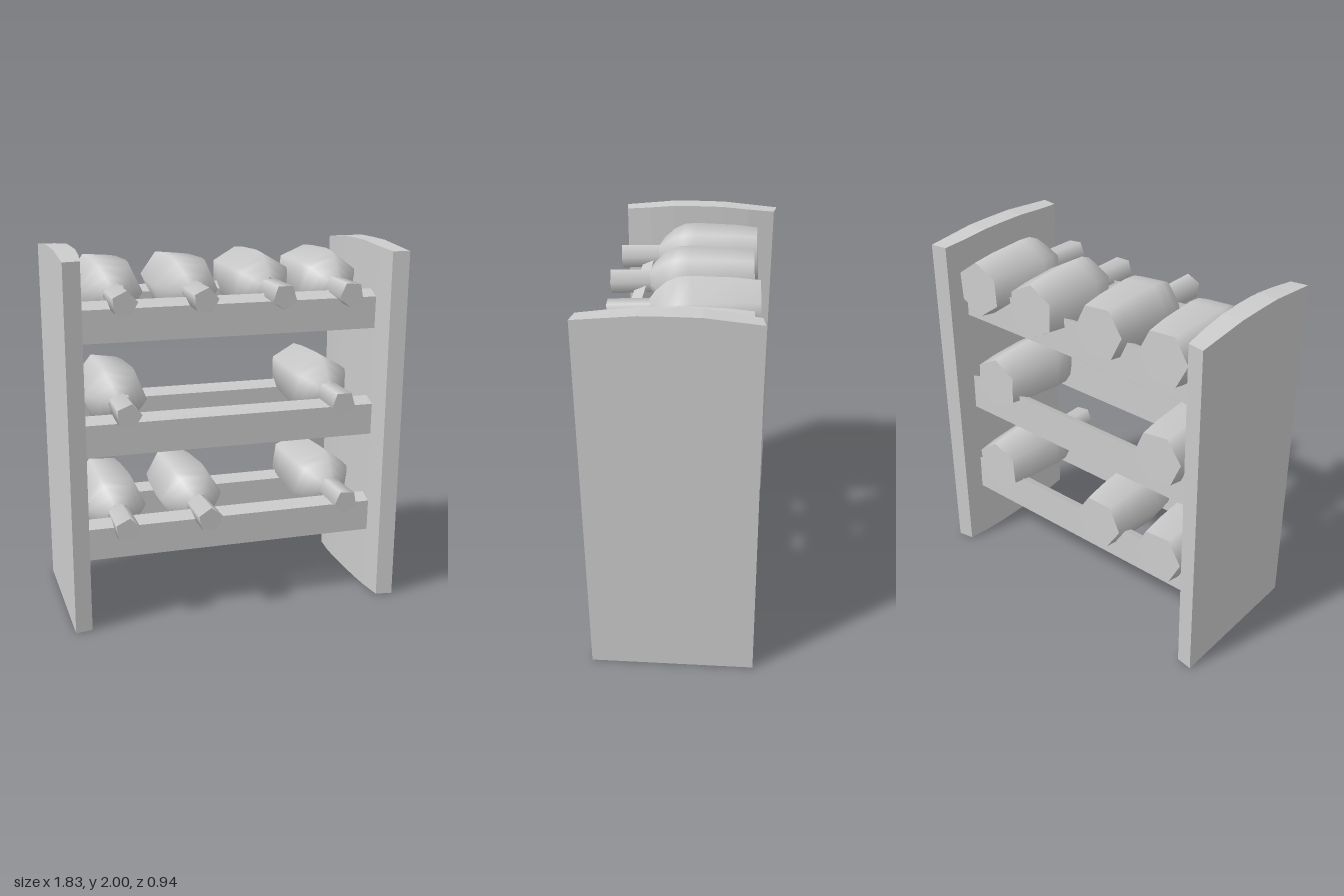
import * as THREE from 'three';

const material = new THREE.MeshStandardMaterial({ color: 0xcccccc });

function addMesh(parent, geometry, name) {
  const mesh = new THREE.Mesh(geometry, material);
  mesh.name = name;
  parent.add(mesh);
  return mesh;
}

// Upright side board: arched top, slight widening upward, inner face bowed inward
function sidePanelGeometry() {
  const box = new THREE.BoxGeometry(1, 2, 2, 1, 1, 6);
  const p = box.attributes.position;
  for (let i = 0; i < p.count; i++) {
    const outer = p.getX(i) > 0;
    const top = p.getY(i) > 0;
    const t = p.getZ(i);
    const front = (top ? 0.47 : 0.44) - (outer ? 0 : 0.015);
    const back = (top ? 0.425 : 0.42) - (outer ? 0 : 0.015);
    const bow = Math.max(0, Math.abs(t) - 0.3) / 0.7;
    p.setXYZ(i,
      outer ? 0.915 : 0.802 + 0.022 * bow * bow,
      top ? 2 - 0.03 * bow : 0,
      t > 0 ? t * front : t * back);
  }
  const flat = box.toNonIndexed();
  flat.computeVertexNormals();
  return flat;
}

// Cross rail: profile in (depth, height) with a sloping top, swept along x
function railGeometry() {
  const shape = new THREE.Shape([
    new THREE.Vector2(-0.035, -0.21),
    new THREE.Vector2(0.03, -0.21),
    new THREE.Vector2(0.035, -0.035),
    new THREE.Vector2(-0.033, 0),
  ]);
  const g = new THREE.ExtrudeGeometry(shape, { depth: 1.62, bevelEnabled: false });
  g.translate(0, 0, -0.81);
  g.rotateY(-Math.PI / 2); // profile depth runs along +z
  return g;
}

const bodyProfile = [
  [0.15, -0.79], [0.168, -0.66], [0.183, -0.44], [0.18, -0.37],
  [0.155, -0.31], [0.105, -0.25], [0.066, -0.22],
].map(([r, y]) => new THREE.Vector2(r, y));

const neckProfile = [[0.066, -0.24], [0.07, 0]].map(([r, y]) => new THREE.Vector2(r, y));

// Bottle lying along z, origin at the mouth, neck towards +z
function makeBottle(spin) {
  const bottle = new THREE.Group();
  bottle.name = 'bottle';
  const body = new THREE.LatheGeometry(bodyProfile, 6).rotateX(Math.PI / 2).rotateZ(spin);
  addMesh(bottle, body, 'bottleBody');
  const base = new THREE.CircleGeometry(0.15, 6, Math.PI / 2);
  base.rotateY(Math.PI).rotateZ(spin).translate(0, 0, -0.79);
  addMesh(bottle, base, 'bottleBase');
  const neck = new THREE.LatheGeometry(neckProfile, 5).rotateX(Math.PI / 2).rotateZ(spin);
  addMesh(bottle, neck, 'bottleNeck');
  const mouth = new THREE.CircleGeometry(0.07, 5, -Math.PI / 2).rotateZ(spin);
  addMesh(bottle, mouth, 'bottleMouth');
  return bottle;
}

export function createModel() {
  const rack = new THREE.Group();
  rack.name = 'bottleRack';

  // Side panels, one turned half a circle
  const panel = sidePanelGeometry();
  addMesh(rack, panel, 'leftPanel');
  addMesh(rack, panel, 'rightPanel').rotation.y = Math.PI;

  // Three levels of front and back rails
  const rail = railGeometry();
  for (const top of [0.565, 1.14, 1.745]) {
    addMesh(rack, rail, 'frontRail').position.set(0, top, 0.267);
    addMesh(rack, rail, 'backRail').position.set(0, top, -0.26);
  }

  // Bottles: mouth x, y, z, then spin about the axis and yaw
  const bottles = [
    [-0.61, 1.75, 0.42, 0.45, 0.01],
    [-0.19, 1.75, 0.43, 0.43, 0.02],
    [0.25, 1.745, 0.39, 0.0, 0.04],
    [0.62, 1.745, 0.41, -0.12, 0.0],
    [-0.6, 1.17, 0.42, 0.38, 0.0],
    [0.575, 1.16, 0.45, 0.0, 0.0],
    [-0.62, 0.55, 0.42, 0.45, 0.0],
    [-0.17, 0.565, 0.43, 0.56, 0.03],
    [0.61, 0.59, 0.44, -0.12, 0.02],
  ];
  for (const [x, y, z, spin, yaw] of bottles) {
    const bottle = makeBottle(spin);
    bottle.position.set(x, y, z);
    bottle.rotation.set(0.04, yaw, 0);
    rack.add(bottle);
  }
  return rack;
}
